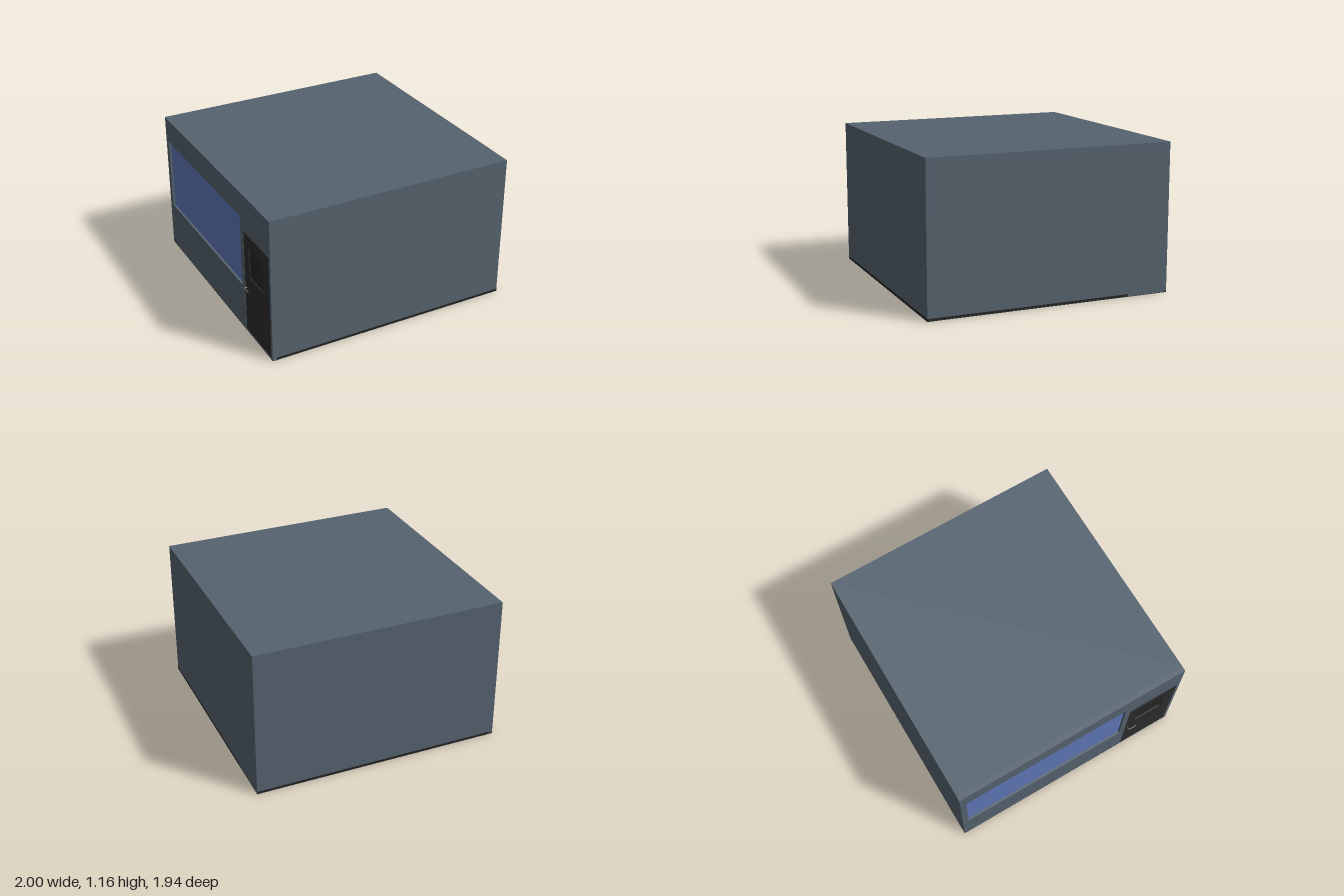
import * as THREE from 'three';

const X0 = -0.975, X1 = 1, Z = 0.97, H = 1.165, T = 0.04;
const mat = (color) => new THREE.MeshStandardMaterial({ color });
const wallMat = mat(0x55636f), floorMat = mat(0x242424), doorMat = mat(0x2c2c2c);
const paneMat = mat(0x262626), glassMat = mat(0x6078b8), metalMat = mat(0x777777);

export function createModel() {
  const room = new THREE.Group();
  room.name = 'room';

  const add = (name, geometry, material) => {
    const mesh = new THREE.Mesh(geometry, material);
    mesh.name = name;
    room.add(mesh);
    return mesh;
  };
  // Box given by its two extreme corners
  const box = (name, material, [x0, y0, z0], [x1, y1, z1]) =>
    add(name, new THREE.BoxGeometry(x1 - x0, y1 - y0, z1 - z0), material)
      .position.set((x0 + x1) / 2, (y0 + y1) / 2, (z0 + z1) / 2);
  // Rectangle path in the plane of the side wall (z across, y up)
  const rect = (path, z0, y0, z1, y1) => {
    path.moveTo(z0, y0);
    path.lineTo(z1, y0);
    path.lineTo(z1, y1);
    path.lineTo(z0, y1);
    path.closePath();
    return path;
  };
  // Panel on the side wall, its outer face at x
  const sidePanel = (name, material, outline, holes, x, depth) => {
    const shape = rect(new THREE.Shape(), ...outline);
    holes.forEach((h) => shape.holes.push(rect(new THREE.Path(), ...h)));
    const geometry = new THREE.ExtrudeGeometry(shape, { depth, bevelEnabled: false });
    geometry.rotateY(-Math.PI / 2);
    add(name, geometry, material).position.x = x + depth;
  };

  // Plain walls and roof
  box('frontWall', wallMat, [X0 + T, 0.002, Z - T], [X1, H - T, Z]);
  box('backWall', wallMat, [X0 + T, 0.002, -Z], [X1, H - T, -Z + T]);
  box('leftWall', wallMat, [X1 - T, 0.002, -Z + T], [X1, H - T, Z - T]);
  box('roof', wallMat, [X0 + T, H - T, -Z], [X1, H, Z]);

  // Wall with the window and door openings
  const windowHole = [-0.92, 0.38, 0.47, 0.965];
  const doorHole = [0.52, 0.01, 0.945, 0.865];
  sidePanel('entranceWall', wallMat, [-Z, 0.002, Z, H], [windowHole, doorHole], X0, T);
  sidePanel('windowGlass', glassMat, windowHole, [], X0 + 0.018, 0.01);

  // Door with a recessed panel
  const paneHole = [0.6, 0.51, 0.84, 0.77];
  sidePanel('door', doorMat, doorHole, [paneHole], X0 + 0.002, 0.03);
  sidePanel('doorPane', paneMat, paneHole, [], X0 + 0.012, 0.01);

  // Bent lever handle
  const bend = new THREE.CurvePath();
  const points = [[X0 + 0.01, 0.4, 0.55], [-0.996, 0.4, 0.55], [-0.996, 0.4, 0.617]]
    .map((p) => new THREE.Vector3(...p));
  bend.add(new THREE.LineCurve3(points[0], points[1]));
  bend.add(new THREE.LineCurve3(points[1], points[2]));
  add('doorHandle', new THREE.TubeGeometry(bend, 24, 0.004, 8), metalMat);
  box('handleTip', metalMat, [-1, 0.396, 0.612], [-0.992, 0.404, 0.617]);

  // Floor slab and the skirting edge that shows at the foot of the walls
  box('floor', floorMat, [X0, 0, -Z], [X1, 0.01, Z]);
  const edge = new THREE.Shape([
    [-0.94, -0.971], [1.001, -0.971], [1.001, 0.63], [0.999, 0.64], [0.999, 0.971], [-0.94, 0.971],
  ].map((p) => new THREE.Vector2(...p)));
  const edgeGeometry = new THREE.ExtrudeGeometry(edge, { depth: 0.018, bevelEnabled: false });
  edgeGeometry.rotateX(-Math.PI / 2);
  add('floorEdge', edgeGeometry, floorMat).position.y = 0.003;

  return room;
}
